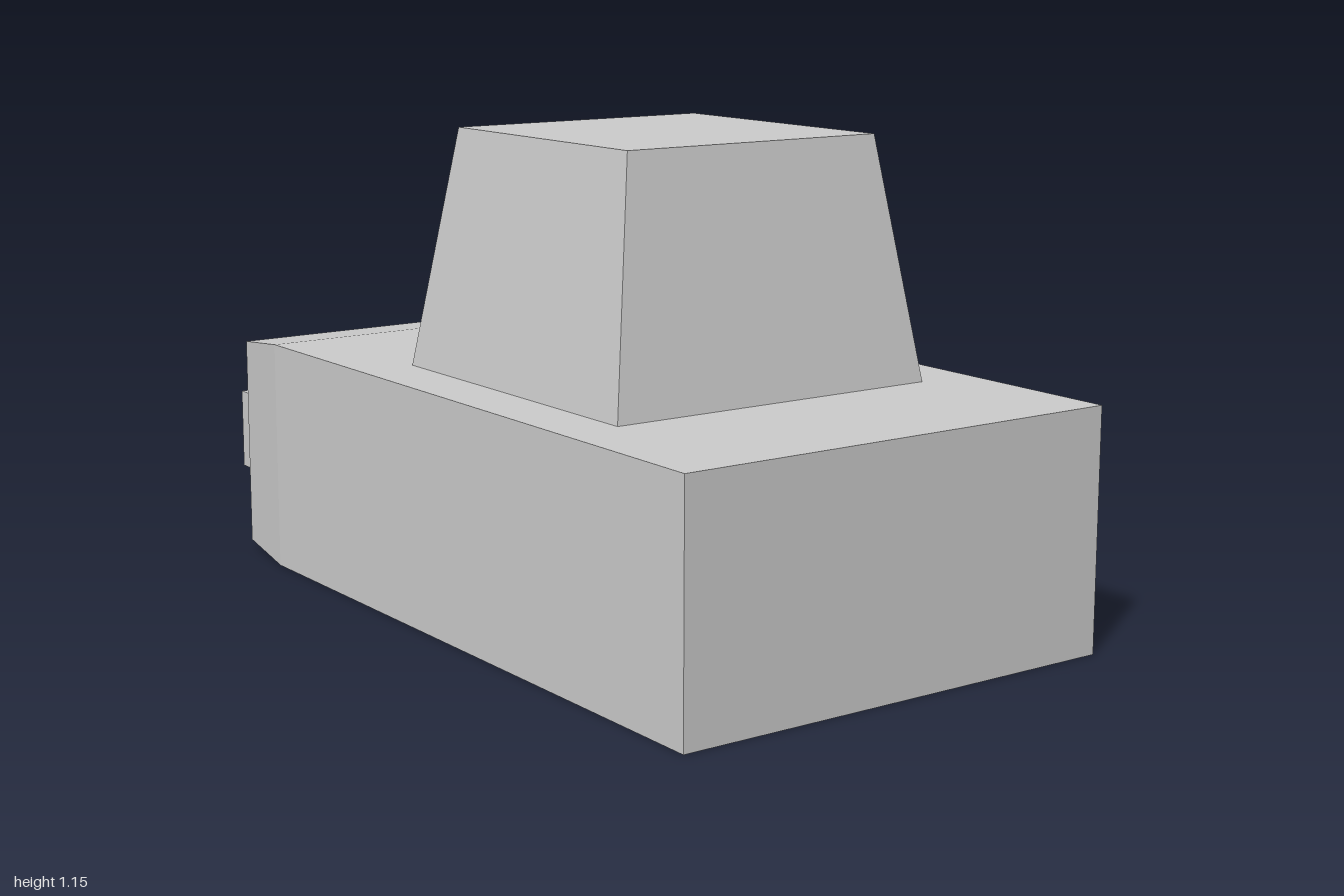
import * as THREE from 'three';

const grey = new THREE.MeshStandardMaterial({ color: 0xcccccc, flatShading: true });

function addPart(group, name, geometry, x, y, z) {
  const mesh = new THREE.Mesh(geometry, grey);
  mesh.name = name;
  mesh.position.set(x, y, z);
  group.add(mesh);
  return mesh;
}

// Move every vertex of a geometry by a rule, then refresh its normals
function reshape(geometry, rule) {
  const pos = geometry.attributes.position;
  const v = new THREE.Vector3();
  for (let i = 0; i < pos.count; i++) {
    rule(v.fromBufferAttribute(pos, i));
    pos.setXYZ(i, v.x, v.y, v.z);
  }
  geometry.computeVertexNormals();
  return geometry;
}

// Long box whose last stretch narrows slightly towards the nose
function bodyGeometry() {
  const h = 0.575, w = 1.15;
  return reshape(new THREE.BoxGeometry(2, h, w, 2, 1, 1), (v) => {
    if (v.x < -0.5) {
      v.x = -0.94;
      v.y *= 0.53 / h;
      v.z *= 1.11 / w;
    } else if (v.x < 0.5) v.x = -0.74;
  });
}

// Square cabin tapering to a flat roof
function cabinGeometry() {
  return reshape(new THREE.BoxGeometry(0.864, 0.575, 0.864), (v) => {
    if (v.y > 0) {
      v.x *= 0.8;
      v.z *= 0.8;
    }
  });
}

// Upright plate pierced by a row of vertical slots
function grilleGeometry(width, height, depth) {
  const border = 0.02, bar = 0.02, count = 5;
  const slot = (width - 2 * border - (count - 1) * bar) / count;
  const rect = (path, x0, y0, x1, y1) =>
    path.moveTo(x0, y0).lineTo(x1, y0).lineTo(x1, y1).lineTo(x0, y1).closePath();
  const plate = new THREE.Shape();
  rect(plate, -width / 2, -height / 2, width / 2, height / 2);
  for (let i = 0; i < count; i++) {
    const x = -width / 2 + border + i * (slot + bar);
    const hole = new THREE.Path();
    rect(hole, x, -height / 2 + border, x + slot, height / 2 - border);
    plate.holes.push(hole);
  }
  const geometry = new THREE.ExtrudeGeometry(plate, { depth, bevelEnabled: false });
  return geometry.rotateY(-Math.PI / 2);
}

export function createModel() {
  const model = new THREE.Group();
  model.name = 'vehicle';

  addPart(model, 'body', bodyGeometry(), 0, 0.2875, 0);
  addPart(model, 'cabin', cabinGeometry(), 0.135, 0.8625, 0);

  // Nose fittings
  addPart(model, 'grille', grilleGeometry(0.285, 0.29, 0.06), -0.94, 0.345, 0);
  for (const side of [-1, 1]) {
    const name = side > 0 ? 'frontHeadlight' : 'rearHeadlight';
    addPart(model, name, new THREE.BoxGeometry(0.06, 0.2, 0.285), -0.97, 0.31, side * 0.4);
  }
  return model;
}
